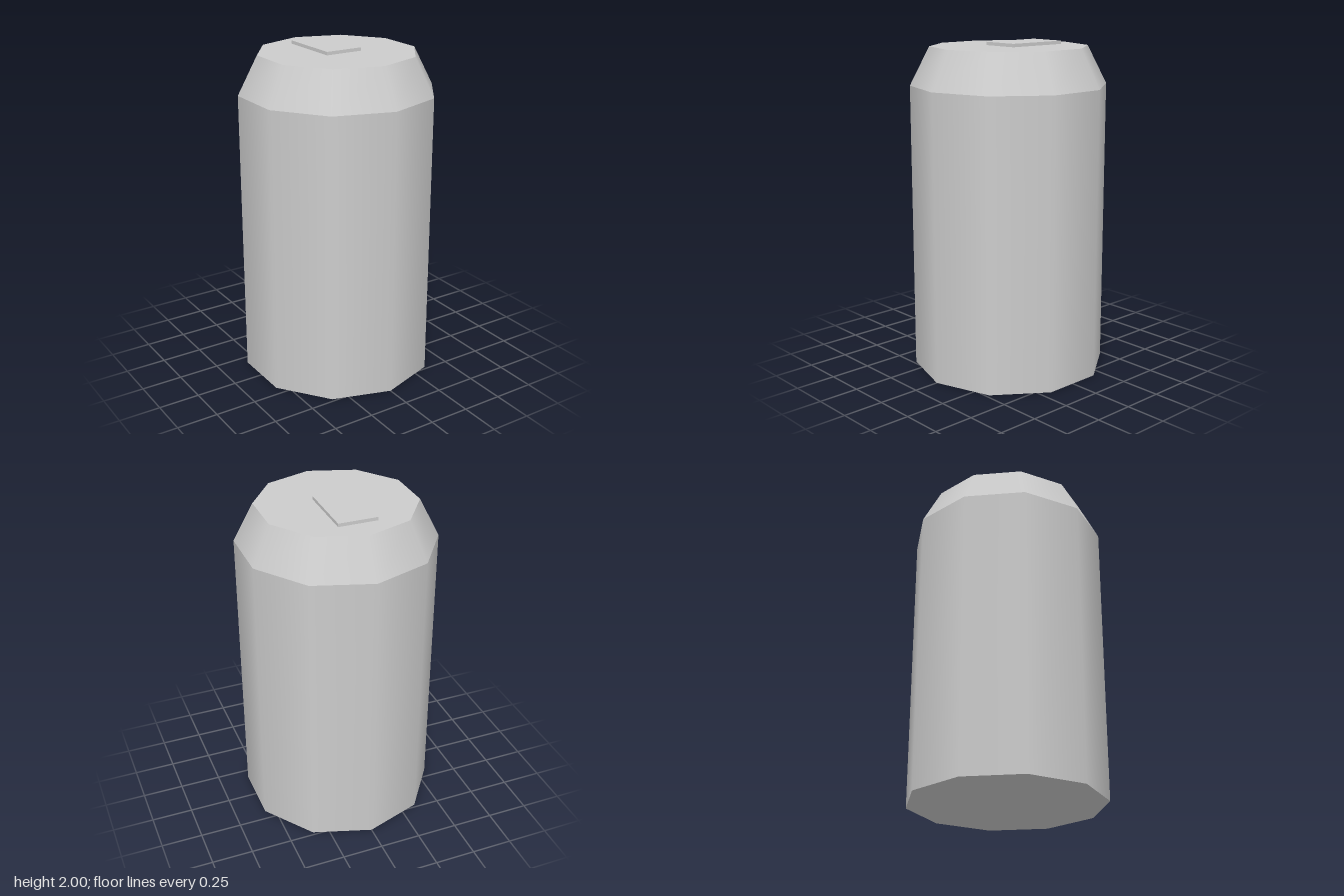
import * as THREE from 'three';

const SIDES = 10;
const RADIUS = 0.593, TOP_RADIUS = 0.475;
const SHOULDER_Y = 1.75, LID_Y = 1.98;

export function createModel() {
  const group = new THREE.Group();
  const aluminium = new THREE.MeshStandardMaterial({ color: 0xcccccc });
  aluminium.name = 'aluminium';

  const add = (name, geometry, x, y, z) => {
    const mesh = new THREE.Mesh(geometry, aluminium);
    mesh.name = name;
    mesh.position.set(x, y, z);
    group.add(mesh);
    return mesh;
  };

  // Smooth-shaded ten-sided walls, open so the caps stay crisp
  add('body', new THREE.CylinderGeometry(RADIUS, RADIUS, SHOULDER_Y, SIDES, 1, true), 0, SHOULDER_Y / 2, 0);
  add('shoulder', new THREE.CylinderGeometry(TOP_RADIUS, RADIUS, LID_Y - SHOULDER_Y, SIDES, 1, true),
    0, (SHOULDER_Y + LID_Y) / 2, 0);

  // Flat lid and base, with a corner facing front and back
  const lid = add('lid', new THREE.CircleGeometry(TOP_RADIUS, SIDES, Math.PI / 2), 0, LID_Y, 0);
  lid.rotation.x = -Math.PI / 2;
  const base = add('base', new THREE.CircleGeometry(RADIUS, SIDES, Math.PI / 2), 0, 0, 0);
  base.rotation.x = Math.PI / 2;

  // Thin pull tab set toward the back of the lid
  add('pullTab', new THREE.BoxGeometry(0.236, 2 - LID_Y, 0.395), 0, (2 + LID_Y) / 2, -0.122);

  return group;
}
